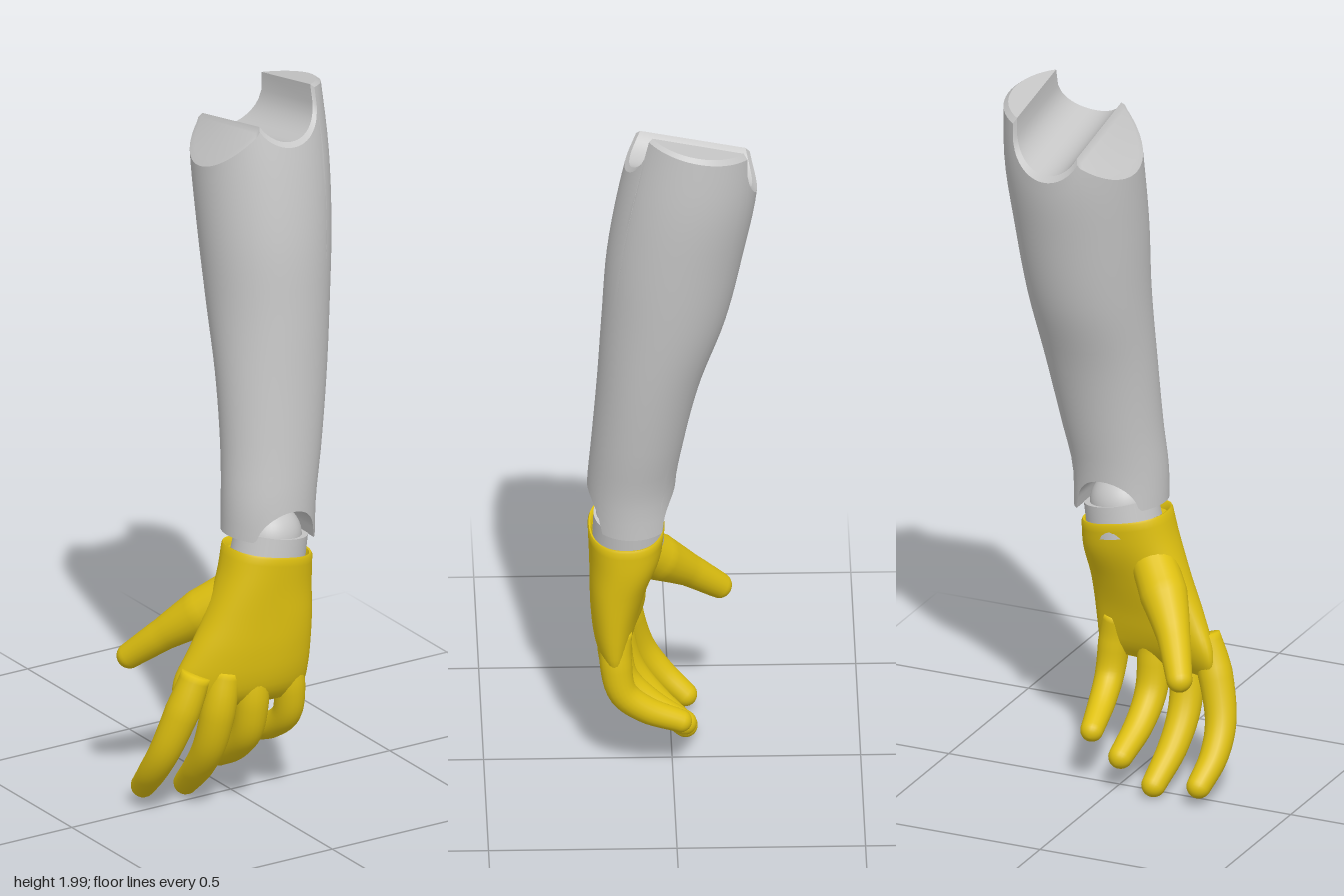
import * as THREE from 'three';
import { toCreasedNormals } from 'three/addons/utils/BufferGeometryUtils.js';

// Skin a stack of rings; ends closed by a 'fan' or by front-to-back 'strip's
function loft(rings, startCap, endCap) {
  const n = rings[0].length, pos = [], index = [];
  rings.forEach(r => r.forEach(p => pos.push(p.x, p.y, p.z)));
  for (let j = 0; j < rings.length - 1; j++) {
    for (let i = 0; i < n; i++) {
      const k = (i + 1) % n, a = j * n + i, b = j * n + k;
      index.push(a, a + n, b, b, a + n, b + n);
    }
  }
  const cap = (mode, row, up) => {
    const tri = (a, b, c) => (up ? index.push(a, b, c) : index.push(a, c, b));
    const o = row * n;
    if (mode === 'fan') {
      const c = new THREE.Vector3();
      rings[row].forEach(p => c.addScaledVector(p, 1 / n));
      const ci = pos.length / 3;
      pos.push(c.x, c.y, c.z);
      for (let i = 0; i < n; i++) tri(ci, o + (i + 1) % n, o + i);
    } else if (mode === 'strip') {
      for (let k = 0; k < n / 2; k++) {
        const f0 = o + k, f1 = o + k + 1, b0 = o + (n - k) % n, b1 = o + n - k - 1;
        tri(f0, b0, f1);
        tri(f1, b0, b1);
      }
    }
  };
  cap(startCap, 0, false);
  cap(endCap, rings.length - 1, true);
  const geo = new THREE.BufferGeometry();
  geo.setAttribute('position', new THREE.Float32BufferAttribute(pos, 3));
  geo.setIndex(index);
  geo.computeVertexNormals();
  return geo;
}

// Smooth lookup in rows of [y, ...values], y ascending
function profile(rows) {
  const size = rows[0].length - 1;
  const curve = new THREE.CubicInterpolant(
    rows.map(r => r[0]), rows.flatMap(r => r.slice(1)), size, new Float32Array(size));
  return y => Array.from(curve.evaluate(THREE.MathUtils.clamp(y, rows[0][0], rows.at(-1)[0])));
}

// Keep hard edges hard (scaled up so that close vertices stay apart)
function creased(geo, angle) {
  geo.scale(100, 100, 100);
  const out = toCreasedNormals(geo, angle);
  out.scale(0.01, 0.01, 0.01);
  return out;
}

function forearmGeometry() {
  // y, centre x, half width, centre z, half depth
  const section = profile([
    [0.75, 0.045, 0.128, 0.11, 0.118], [0.87, 0.048, 0.13, 0.11, 0.117],
    [1.0, 0.065, 0.138, 0.095, 0.122], [1.2, 0.085, 0.152, 0.065, 0.137],
    [1.4, 0.1, 0.165, 0.025, 0.165], [1.6, 0.108, 0.178, -0.005, 0.181],
    [1.8, 0.115, 0.185, -0.04, 0.183], [2.0, 0.115, 0.18, -0.065, 0.16],
  ]);
  // Columns from left to right, with breaks at the notch edges
  const breaks = [0, 0.81, 0.947, 0.957, 2.06, 2.33, Math.PI];
  const counts = [10, 5, 1, 22, 7, 10];
  const half = [0];
  counts.forEach((c, s) => {
    for (let i = 1; i <= c; i++) half.push(THREE.MathUtils.lerp(breaks[s], breaks[s + 1], i / c));
  });
  const angles = [...half, ...half.slice(1, -1).reverse().map(t => 2 * Math.PI - t)];

  // Sloped elbow end with a round saddle running front to back
  const topY = (u, z) => {
    if (u > 0.58) return 1.985 + 0.2 * z;
    if (u < -0.47) return 1.9 + 0.162 * (u + 0.47) + 0.2 * z;
    const dx = 0.115 + 0.18 * u - 0.12;
    return 1.97 - Math.sqrt(Math.max(0, 0.01 - dx * dx)) + 0.2 * (z - 0.1);
  };
  // Wrist end with an arch for the ball
  const bottomY = u => {
    const dx = 0.128 * u, base = 0.773 - 0.127 * dx;
    return Math.abs(dx) < 0.09 ? Math.max(base, 0.775 + Math.sqrt(0.0081 - dx * dx)) : base;
  };
  const at = (t, y, s = 1) => {
    const [cx, a, cz, b] = section(y);
    return new THREE.Vector3(cx + a * s * Math.cos(t), y, cz + b * s * Math.sin(t));
  };
  const rows = 26, rings = [];
  for (let j = 0; j <= rows; j++) {
    rings.push(angles.map(t => {
      const u = Math.cos(t), top = topY(u, at(t, 1.92).z) - 0.012;
      return at(t, THREE.MathUtils.lerp(bottomY(u), top, j / rows));
    }));
  }
  // Bevelled rim
  rings.push(angles.map((t, i) => {
    const p = at(t, rings[rows][i].y, 0.93);
    p.y = topY(Math.cos(t), p.z);
    return p;
  }));
  return creased(loft(rings, 'strip', 'strip'), 0.5);
}

function palmGeometry() {
  // y, centre x, half width, centre z, half depth, sideways slope, arch
  const section = profile([
    [0.315, -0.052, 0.165, 0.143, 0.014, 0.2, 0.8], [0.345, -0.052, 0.18, 0.145, 0.036, 0.2, 0.8],
    [0.39, -0.048, 0.183, 0.145, 0.052, 0.2, 0.7], [0.47, -0.027, 0.169, 0.145, 0.066, 0.16, 0.5],
    [0.56, 0, 0.148, 0.138, 0.08, 0.1, 0.2], [0.66, 0.025, 0.13, 0.126, 0.096, 0, 0],
    [0.73, 0.035, 0.121, 0.123, 0.102, 0, 0],
  ]);
  const n = 48;
  const ring = (y, s = 1, drop = 0) => {
    const [cx, a, cz, b, slope, arch] = section(y);
    const tilt = 0.19 * THREE.MathUtils.smoothstep(y, 0.45, 0.73);
    return Array.from({ length: n }, (_, i) => {
      const t = (i / n) * 2 * Math.PI, c = Math.cos(t), d = Math.sin(t);
      const dx = a * s * Math.sign(c) * Math.abs(c) ** 0.85;
      const dz = b * s * Math.sign(d) * Math.abs(d) ** 0.85;
      return new THREE.Vector3(cx + dx, y - drop - tilt * dx, cz + dz + slope * dx - arch * dx * dx);
    });
  };
  const rings = [];
  for (let j = 0; j <= 22; j++) rings.push(ring(0.315 + (0.415 * j) / 22));
  // Rounded cuff lip turning inward
  rings.push(ring(0.73, 0.975, -0.006), ring(0.73, 0.93, -0.004), ring(0.73, 0.88, 0.015));
  return creased(loft(rings, 'fan', 'fan'), 0.9);
}

// Tapered finger along a curve with a round tip
function fingerGeometry(points, radii) {
  const curve = new THREE.CatmullRomCurve3(points.map(p => new THREE.Vector3(...p)));
  const steps = 24, n = 20, rings = [];
  const frames = curve.computeFrenetFrames(steps);
  const addRing = (c, r, k) => rings.push(Array.from({ length: n }, (_, i) => {
    const t = (i / n) * 2 * Math.PI;
    return c.clone().addScaledVector(frames.normals[k], r * Math.cos(t))
      .addScaledVector(frames.binormals[k], -r * Math.sin(t));
  }));
  const last = radii.length - 1;
  for (let k = 0; k <= steps; k++) {
    const f = (k / steps) * last, i = Math.min(Math.floor(f), last - 1);
    addRing(curve.getPointAt(k / steps), THREE.MathUtils.lerp(radii[i], radii[i + 1], f - i), k);
  }
  for (let k = 1; k <= 7; k++) {
    const phi = (k / 7) * 1.5, r = radii[last];
    const c = curve.getPointAt(1).addScaledVector(frames.tangents[steps], r * Math.sin(phi));
    addRing(c, r * Math.cos(phi), steps);
  }
  return loft(rings, 'fan', 'fan');
}

export function createModel() {
  const grey = new THREE.MeshStandardMaterial({ color: 0xc6c6c6 });
  grey.name = 'light grey shell';
  const yellow = new THREE.MeshStandardMaterial({ color: 0xdec010 });
  yellow.name = 'yellow glove';

  const model = new THREE.Group();
  model.name = 'forearmAndHand';
  const add = (parent, name, geo, mat) => {
    const mesh = new THREE.Mesh(geo, mat);
    mesh.name = name;
    parent.add(mesh);
    return mesh;
  };

  add(model, 'forearm', forearmGeometry(), grey);

  // Wrist joint
  add(model, 'wristBall', new THREE.SphereGeometry(0.088, 40, 24), grey).position.set(0.045, 0.765, 0.117);
  const stub = add(model, 'wristStub', new THREE.CylinderGeometry(0.1, 0.104, 0.09, 48), grey);
  stub.position.set(0.045, 0.735, 0.118);
  stub.rotation.z = -0.18;
  stub.scale.z = 0.92;

  // Hand
  const hand = new THREE.Group();
  hand.name = 'hand';
  model.add(hand);
  add(hand, 'palm', palmGeometry(), yellow);
  const fingers = {
    thumb: [[[-0.04, 0.63, 0.11], [-0.105, 0.56, 0.045], [-0.175, 0.48, -0.04], [-0.235, 0.395, -0.13]],
      [0.06, 0.064, 0.045, 0.035]],
    indexFinger: [[[-0.19, 0.42, 0.128], [-0.222, 0.33, 0.118], [-0.258, 0.2, 0.08], [-0.263, 0.12, 0.025], [-0.25, 0.058, -0.04]],
      [0.04, 0.047, 0.043, 0.039, 0.033]],
    middleFinger: [[[-0.11, 0.42, 0.145], [-0.128, 0.33, 0.145], [-0.137, 0.21, 0.115], [-0.133, 0.12, 0.052], [-0.117, 0.038, -0.038]],
      [0.042, 0.047, 0.044, 0.04, 0.033]],
    ringFinger: [[[-0.025, 0.42, 0.15], [-0.03, 0.33, 0.152], [-0.031, 0.23, 0.13], [-0.028, 0.16, 0.065], [-0.018, 0.1, -0.033]],
      [0.042, 0.046, 0.043, 0.039, 0.033]],
    littleFinger: [[[0.075, 0.43, 0.148], [0.086, 0.35, 0.152], [0.092, 0.255, 0.134], [0.086, 0.2, 0.075], [0.072, 0.155, -0.02]],
      [0.04, 0.043, 0.039, 0.036, 0.031]],
  };
  for (const [name, [points, radii]] of Object.entries(fingers)) {
    add(hand, name, fingerGeometry(points, radii), yellow);
  }
  return model;
}
